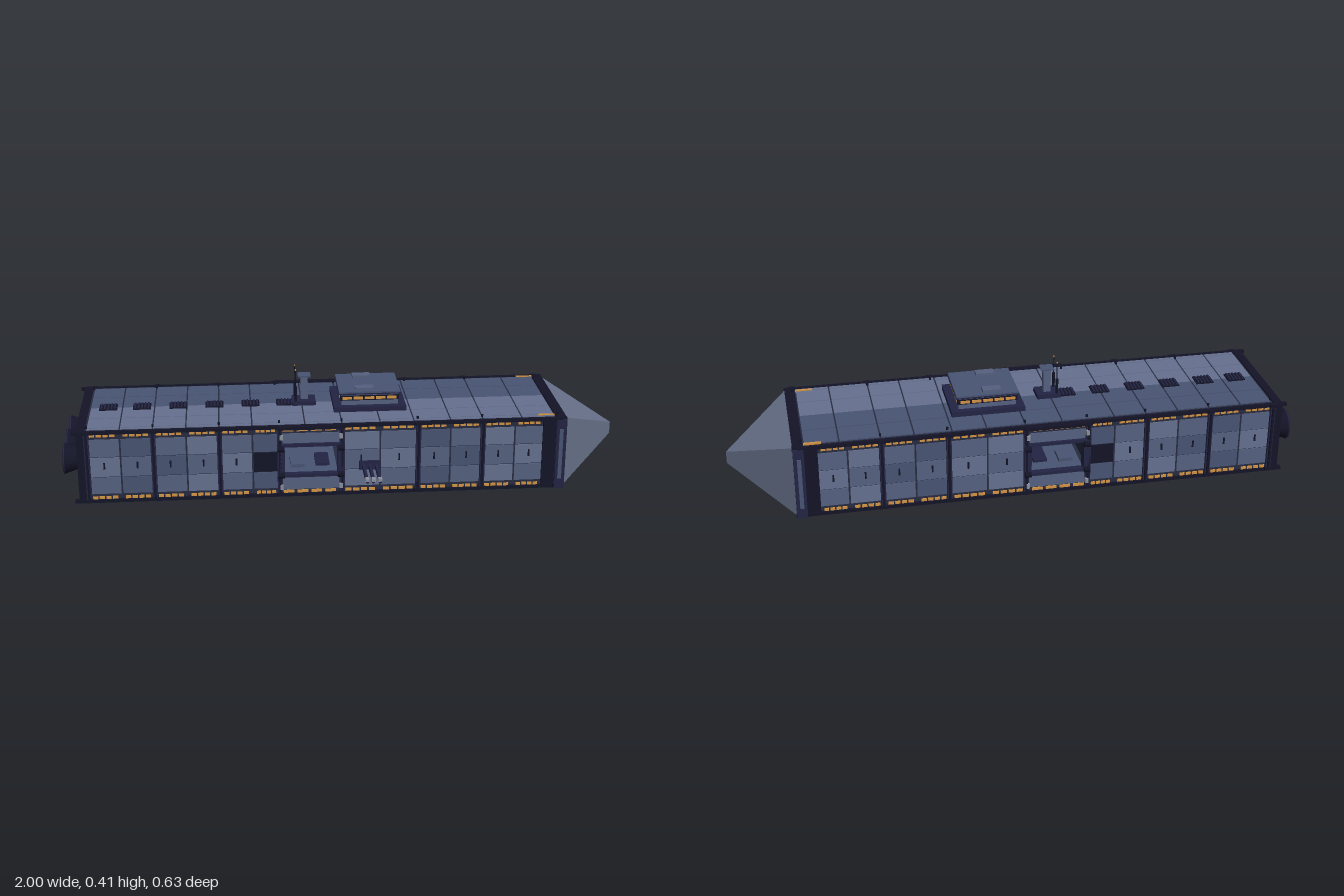
import * as THREE from 'three';

const mat = (name, color, side = THREE.FrontSide) => {
  const m = new THREE.MeshStandardMaterial({ color, side });
  m.name = name;
  return m;
};

export function createModel() {
  const model = new THREE.Group();
  model.name = 'hauler';
  const ship = new THREE.Group();
  ship.name = 'ship';
  ship.position.z = -0.063; // the gun reaches forward, so the hull sits back
  model.add(ship);

  const M = {
    light: mat('light slate', 0x667190),
    slate: mat('slate', 0x566180),
    dark: mat('dark slate', 0x485473),
    nose: mat('nose slate', 0x667088),
    seam: mat('seam navy', 0x272b40),
    navy: mat('navy', 0x232444),
    black: mat('black navy', 0x131427, THREE.DoubleSide),
    amber: mat('amber', 0xd39443),
    grey: mat('pale grey', 0x8a909c),
  };
  const unit = new THREE.BoxGeometry(1, 1, 1);

  // Box given by its limits on each axis
  const box = (name, m, x0, x1, y0, y1, z0, z1, parent = ship) => {
    const b = new THREE.Mesh(unit, m);
    b.name = name;
    b.scale.set(x1 - x0, y1 - y0, Math.abs(z1 - z0));
    b.position.set((x0 + x1) / 2, (y0 + y1) / 2, (z0 + z1) / 2);
    parent.add(b);
    return b;
  };
  const rod = (name, m, r0, r1, len, x, y, z, axis = 'y', open = false, sides = 12) => {
    const g = new THREE.CylinderGeometry(r1, r0, len, sides, 1, open);
    if (axis === 'x') g.rotateZ(-Math.PI / 2);
    if (axis === 'z') g.rotateX(Math.PI / 2);
    const c = new THREE.Mesh(g, m);
    c.name = name;
    c.position.set(x, y, z);
    ship.add(c);
    return c;
  };

  const W = 0.222, top = 0.27;
  // Hull core around the open cross bay
  box('aftHull', M.seam, -0.93, -0.24, 0.006, top, -W, W);
  box('foreHull', M.seam, -0.02, 0.775, 0.006, top, -W, W);
  box('bayFloor', M.seam, -0.24, -0.02, 0.006, 0.085, -W, W);
  box('bayCeiling', M.seam, -0.24, -0.02, 0.2, top, -W, W);
  box('bayDeck', M.dark, -0.225, -0.035, 0.085, 0.09, -W + 0.01, W - 0.01);
  box('aftBulkhead', M.black, -0.94, -0.93, 0.008, 0.268, -W, W);

  // Tapered nose ending in a short upright edge
  {
    const x = 0.775, t = [1, 0.16, 0], u = [1, 0.116, 0];
    const a = [x, top, W], b = [x, top, -W], c = [x, 0.006, -W], d = [x, 0.006, W];
    const tris = [a, t, b, d, c, u, a, d, u, a, u, t, b, t, u, b, u, c];
    const g = new THREE.BufferGeometry();
    g.setAttribute('position', new THREE.Float32BufferAttribute(tris.flat(), 3));
    g.computeVertexNormals();
    const nose = new THREE.Mesh(g, M.nose);
    nose.name = 'nose';
    ship.add(nose);
  }

  // Column edges for the plating, with the bay left out on the sides
  const cols = [-0.91, -0.795, -0.68, -0.565, -0.45, -0.335, -0.24, -0.02, 0.115, 0.25, 0.365, 0.48, 0.595, 0.7];
  const rows = [0.035, 0.1, 0.175, 0.243];
  const gap = 0.003;
  for (const s of [-1, 1]) {
    for (let i = 0; i < cols.length - 1; i++) {
      const a = cols[i] + gap, b = cols[i + 1] - gap;
      if (i === 6) {
        box('bayLowerPlate', M.slate, a, b, 0.03, 0.082, s * W, s * (W + 0.003));
        box('bayUpperPlate', M.slate, a, b, 0.203, 0.243, s * W, s * (W + 0.003));
      } else {
        for (let r = 0; r < 3; r++) {
          const hatch = i === 5 && r === 1;
          const m = hatch ? M.black : [M.slate, M.light, M.slate, M.dark][(i * 3 + (r === 1 ? 1 : 0)) % 4];
          box(hatch ? 'darkHatch' : 'sidePlate', m, a, b, rows[r] + 0.0015, rows[r + 1] - 0.0015, s * W, s * (W + 0.003));
        }
        // Small handles on the middle row
        if (i !== 5) box('handle', M.black, (a + b) / 2 - 0.003, (a + b) / 2 + 0.003, 0.13, 0.155, s * W, s * (W + 0.006));
      }
      // Dashed running lights above and below
      for (const y of [0.256, 0.022]) {
        const n = 4, step = (b - a - 0.016) / n;
        for (let k = 0; k < n; k++) {
          const x = a + 0.008 + k * step;
          box('runningLight', M.amber, x, x + step * 0.78, y - 0.005, y + 0.005, s * W, s * (W + 0.004));
        }
      }
    }

    // Upright ribs with roof knobs
    for (const x of [-0.91, -0.68, -0.45, -0.24, -0.02, 0.25, 0.48, 0.75]) {
      box('rib', M.navy, x - 0.009, x + 0.009, 0.01, top, s * W, s * (W + 0.012));
      box('ribCore', M.black, x - 0.004, x + 0.004, 0.02, 0.262, s * W, s * (W + 0.018));
      box('ribFoot', M.black, x - 0.012, x + 0.012, 0.008, 0.02, s * W, s * (W + 0.015));
      box('ribHead', M.black, x - 0.012, x + 0.012, 0.262, 0.274, s * W, s * (W + 0.015));
      rod('roofKnob', M.black, 0.004, 0.004, 0.01, x, 0.278, s * 0.197, 'y', false, 8);
    }

    // Long edge rails
    for (const y of [0.268, 0.011]) box('edgeRail', M.black, -0.96, 0.78, y - 0.006, y + 0.006, s * (W - 0.004), s * (W + 0.009));

    // Dark collar behind the nose
    box('collarBand', M.black, 0.695, 0.742, 0.012, 0.268, s * W, s * (W + 0.006));
    box('collarEdge', M.navy, 0.742, 0.778, 0.006, 0.268, s * (W - 0.002), s * (W + 0.02));
    box('collarStrip', M.dark, 0.752, 0.766, 0.045, 0.235, s * (W + 0.018), s * (W + 0.022));
    box('sternEdge', M.black, -0.945, -0.915, 0.008, 0.268, s * (W - 0.01), s * (W + 0.008));

    // Bay frame with hinges and clamps
    for (const x of [-0.235, -0.025]) {
      box('bayPost', M.navy, x - 0.012, x + 0.012, 0.08, 0.205, s * (W - 0.02), s * (W + 0.018));
      for (const y of [0.09, 0.19]) rod('hinge', M.black, 0.012, 0.012, 0.022, x, y, s * (W + 0.015), 'x');
      for (const y of [0.045, 0.235]) box('clamp', M.grey, x - 0.006, x + 0.006, y - 0.008, y + 0.008, s * (W + 0.012), s * (W + 0.024));
    }
    for (const y of [0.085, 0.2]) box('bayBeam', M.navy, -0.24, -0.02, y - 0.006, y + 0.006, s * (W - 0.01), s * (W + 0.012));
    box('bayRail', M.black, -0.245, -0.015, 0.262, 0.274, s * (W + 0.005), s * (W + 0.022));
    box('bayCrate', M.dark, -0.2, -0.15, 0.09, 0.102, s * 0.1, s * 0.17);
    box('bayCrate', M.navy, -0.11, -0.06, 0.09, 0.1, s * 0.06, s * 0.16);
  }

  // Roof and belly plating
  const roofCols = [-0.91, -0.795, -0.68, -0.565, -0.45, -0.335, -0.15, -0.02, 0.115, 0.235, 0.365, 0.48, 0.62, 0.74];
  const lanes = [-0.206, -0.108, 0, 0.105, 0.195, 0.214];
  const belly = [-0.21, -0.105, 0, 0.105, 0.21];
  for (let i = 0; i < roofCols.length - 1; i++) {
    const a = roofCols[i] + 0.0025, b = roofCols[i + 1] - 0.0025;
    for (let j = 0; j < 5; j++) {
      const m = j < 2 ? M.dark : M.light;
      box('roofPlate', m, a, b, top, 0.274, lanes[j] + (j === 2 ? 0 : 0.002), lanes[j + 1] - (j === 1 ? 0 : 0.002));
    }
    for (let j = 0; j < 4; j++) box('bellyPlate', M.dark, a, b, 0.002, 0.006, belly[j] + 0.003, belly[j + 1] - 0.003);
  }
  box('roofCollar', M.black, 0.742, 0.778, top, 0.275, -W, W);
  box('sternCollar', M.black, -0.945, -0.915, top, 0.275, -W, W);
  for (const z of [-0.207, 0.199]) box('roofLight', M.amber, 0.68, 0.74, top, 0.277, z - 0.004, z + 0.004);

  // Roof vents with slats
  for (const x of [-0.845, -0.725, -0.595, -0.465, -0.335, -0.21]) {
    box('vent', M.black, x - 0.032, x + 0.032, 0.272, 0.278, -0.028, 0.028);
    for (let k = -2; k <= 2; k++) box('ventSlat', M.navy, x + k * 0.012 - 0.003, x + k * 0.012 + 0.003, 0.278, 0.282, -0.026, 0.026);
  }

  // Bridge
  box('bridgeBase', M.navy, -0.04, 0.22, 0.274, 0.292, -0.113, 0.113);
  box('bridgeBody', M.slate, -0.012, 0.192, 0.292, 0.336, -0.09, 0.09);
  box('windowBand', M.black, -0.016, 0.196, 0.31, 0.328, -0.093, 0.093);
  box('bridgeRoof', M.navy, -0.022, 0.202, 0.334, 0.338, -0.1, 0.1);
  box('bridgeRoofPlate', M.dark, -0.02, 0.2, 0.338, 0.344, -0.098, 0.098);
  for (const z of [-0.067, 0.067]) box('roofBox', M.slate, 0.04, 0.105, 0.344, 0.353, z - 0.017, z + 0.017);
  for (let k = 0; k < 5; k++) {
    const z = -0.08 + k * 0.0325, x = -0.008 + k * 0.04;
    for (const e of [-0.0175, 0.1945]) box('bridgeWindow', M.amber, e, e + 0.003, 0.314, 0.324, z, z + 0.027);
    for (const s of [-1, 1]) box('bridgeWindow', M.amber, x, x + 0.034, 0.314, 0.324, s * 0.092, s * 0.095);
  }

  // Sensor mast
  box('mastBase', M.navy, -0.185, -0.1, 0.274, 0.29, -0.035, 0.035);
  box('mastPost', M.slate, -0.153, -0.127, 0.29, 0.378, -0.012, 0.012);
  box('mastTop', M.dark, -0.163, -0.117, 0.377, 0.382, -0.022, 0.022);
  for (const z of [-0.027, 0.027]) {
    rod('antennaFoot', M.black, 0.005, 0.005, 0.06, -0.172, 0.315, z, 'y', false, 8);
    rod('antenna', M.black, 0.0017, 0.0017, 0.13, -0.172, 0.342, z, 'y', false, 6);
    rod('antennaTip', M.amber, 0.0025, 0.0025, 0.005, -0.172, 0.408, z, 'y', false, 6);
  }

  // Triple gun on the front side
  box('gunMount', M.navy, 0.04, 0.115, 0.1, 0.132, W, W + 0.012);
  for (const x of [0.055, 0.077, 0.1]) {
    box('gunBarrel', M.navy, x - 0.005, x + 0.005, 0.108, 0.123, W, 0.373);
    box('gunMuzzle', M.grey, x - 0.007, x + 0.007, 0.115, 0.125, 0.358, 0.378);
  }

  // Engine bells
  for (const z of [-0.135, 0, 0.135]) {
    rod('engineBell', M.black, 0.056, 0.036, 0.06, -0.97, 0.14, z, 'x', true, 20);
    rod('engineCore', M.navy, 0.04, 0.04, 0.008, -0.944, 0.14, z, 'x', false, 20);
    const ring = new THREE.Mesh(new THREE.TorusGeometry(0.054, 0.003, 6, 20), M.navy);
    ring.name = 'engineRim';
    ring.rotation.y = Math.PI / 2;
    ring.position.set(-0.997, 0.14, z);
    ship.add(ring);
  }
  return model;
}
